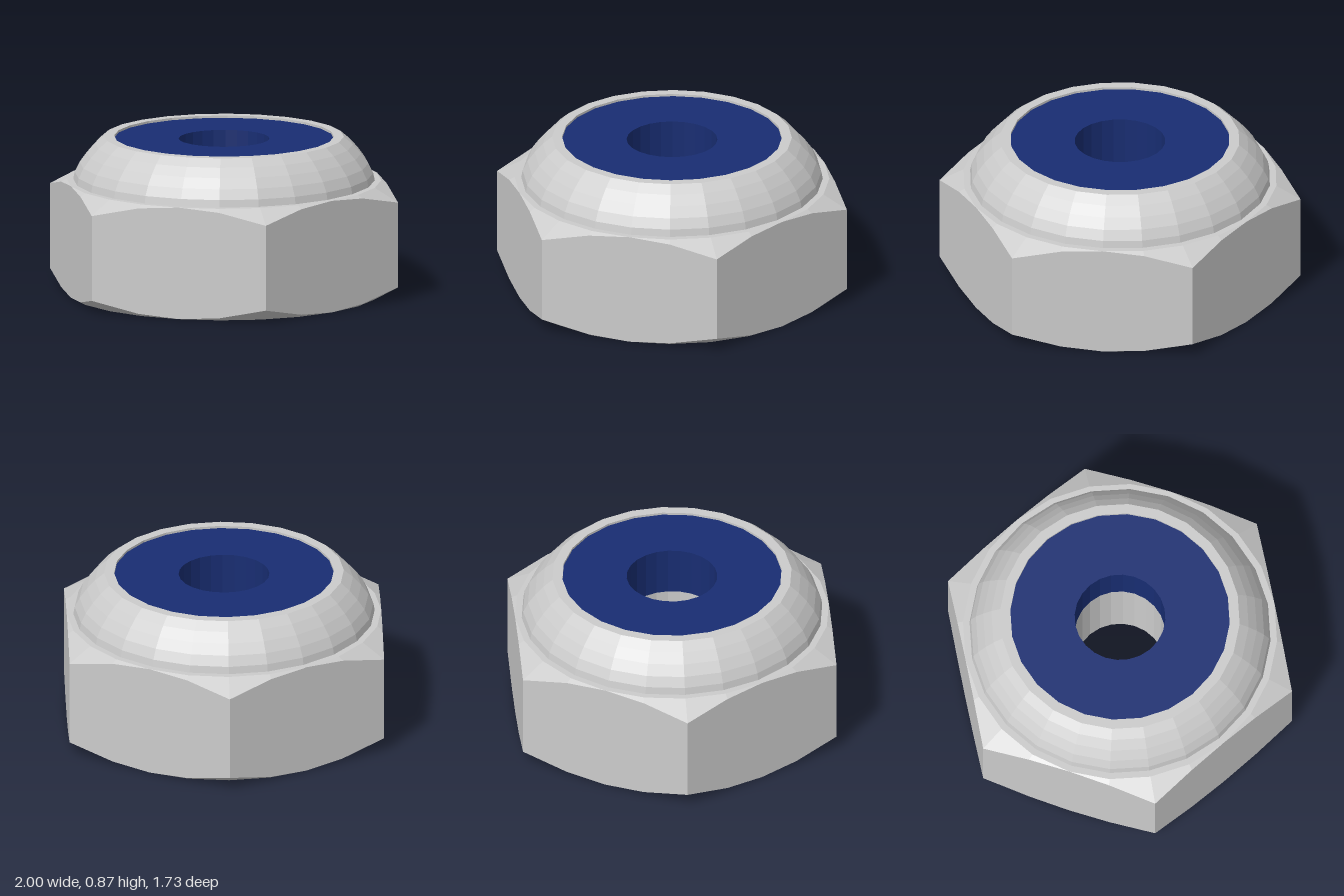
import * as THREE from 'three';

const SEGMENTS = 24;
const APOTHEM = 0.866;   // centre to hexagon flat
const HEX_TOP = 0.625;   // height of the hexagonal body
const BORE = 0.25;
const BORE_TOP = 0.585;  // underside of the insert

const metal = new THREE.MeshStandardMaterial({ color: 0xcccccc, flatShading: true });
const nylon = new THREE.MeshStandardMaterial({ color: 0x182d72, flatShading: true });

// Revolves a profile of [radius, height] pairs, listed upwards along the outside
function revolve(name, profile, material) {
  const points = profile.map(([r, y]) => new THREE.Vector2(r, y));
  const mesh = new THREE.Mesh(new THREE.LatheGeometry(points, SEGMENTS), material);
  mesh.name = name;
  return mesh;
}

// Pulls the full-radius rings of a revolved body onto a hexagon, with the
// edges following a shallow conical chamfer
function squeezeToHexagon(geometry) {
  const pos = geometry.attributes.position;
  const sector = Math.PI / 3;
  for (let i = 0; i < pos.count; i++) {
    const x = pos.getX(i), y = pos.getY(i), z = pos.getZ(i);
    if (Math.hypot(x, z) < 0.95) continue;
    const angle = Math.atan2(z, x);
    const offset = angle - sector * Math.floor(angle / sector + 1e-5) - sector / 2;
    const radius = APOTHEM / Math.cos(offset);
    const drop = 0.56 * (radius - APOTHEM);
    pos.setXYZ(i, radius * Math.cos(angle), y < HEX_TOP / 2 ? drop : HEX_TOP - drop, radius * Math.sin(angle));
  }
  geometry.computeVertexNormals();
}

export function createModel() {
  const nut = new THREE.Group();
  nut.name = 'lockNut';

  // Hexagonal body with bore, countersink and chamfered corners
  const body = revolve('hexBody', [
    [BORE, BORE_TOP], [BORE, 0.065], [0.365, 0], [APOTHEM, 0],
    [1, 0], [1, HEX_TOP], [APOTHEM, HEX_TOP], [0.8, HEX_TOP],
  ], metal);
  squeezeToHexagon(body.geometry);

  // Rounded collar crimped over the insert
  const collar = revolve('collar', [
    [0.83, HEX_TOP], [0.822, 0.665], [0.795, 0.72], [0.755, 0.775],
    [0.71, 0.825], [0.66, 0.868], [0.605, 0.868], [0.605, 0.84],
  ], metal);

  // Coloured locking ring, set slightly below the lip
  const insert = revolve('lockingInsert', [
    [BORE, BORE_TOP], [0.605, BORE_TOP], [0.605, 0.855], [BORE, 0.855], [BORE, BORE_TOP],
  ], nylon);

  nut.add(body, collar, insert);
  return nut;
}
